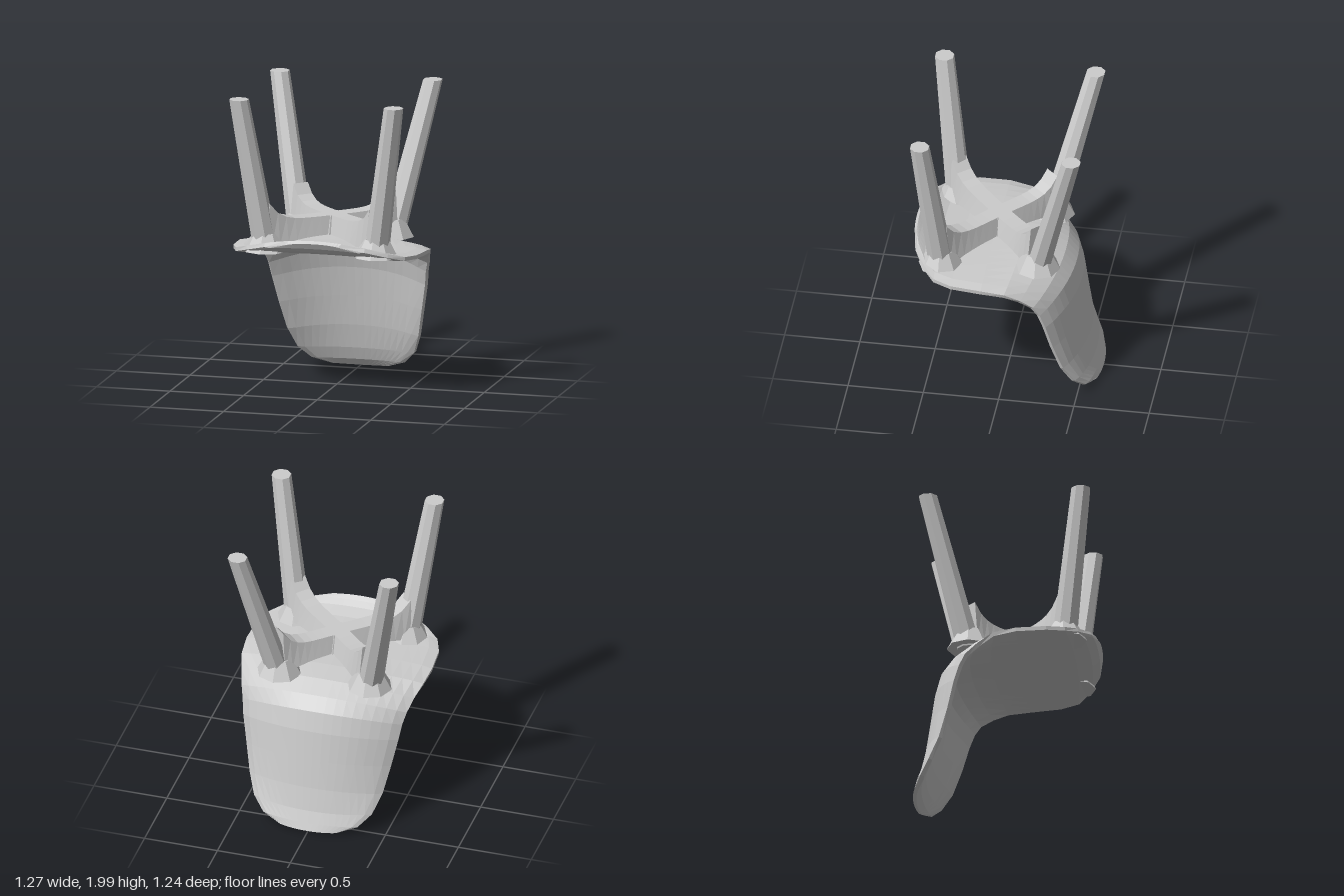
import * as THREE from 'three';

const material = new THREE.MeshStandardMaterial({ color: 0xcccccc, flatShading: true });

// Shell stations from seat lip to backrest rim: centre z, centre y, edge z, edge y, half width
const STATIONS = [
  [0.61, 1.085, 0.6, 1.07, 0.19],
  [0.585, 1.055, 0.57, 1.04, 0.34],
  [0.54, 1.025, 0.5, 1.0, 0.48],
  [0.45, 0.995, 0.42, 0.968, 0.575],
  [0.3, 0.98, 0.3, 0.958, 0.622],
  [0.1, 0.975, 0.1, 0.948, 0.635],
  [-0.1, 0.975, -0.05, 0.925, 0.62],
  [-0.25, 0.96, -0.15, 0.87, 0.585],
  [-0.36, 0.905, -0.23, 0.81, 0.56],
  [-0.425, 0.83, -0.27, 0.74, 0.54],
  [-0.46, 0.7, -0.305, 0.64, 0.525],
  [-0.49, 0.5, -0.35, 0.46, 0.49],
  [-0.52, 0.3, -0.41, 0.27, 0.45],
  [-0.555, 0.14, -0.48, 0.14, 0.4],
  [-0.585, 0.06, -0.54, 0.06, 0.32],
  [-0.612, 0.012, -0.59, 0.018, 0.19],
];

// One continuous curved shell with thickness and a closed rim
function shellGeometry() {
  const cols = 18, rows = STATIONS.length, stride = cols + 1;
  const middle = [];
  for (const [cz, cy, ez, ey, w] of STATIONS) {
    for (let c = 0; c <= cols; c++) {
      const u = (c / cols) * 2 - 1;
      const k = Math.pow(Math.abs(u), 2.2);
      middle.push(new THREE.Vector3(w * u, cy + (ey - cy) * k, cz + (ez - cz) * k));
    }
  }
  const at = (r, c) => middle[
    THREE.MathUtils.clamp(r, 0, rows - 1) * stride + THREE.MathUtils.clamp(c, 0, cols)];
  const outer = [], inner = [];
  for (let r = 0; r < rows; r++) {
    for (let c = 0; c <= cols; c++) {
      const across = at(r, c + 1).clone().sub(at(r, c - 1));
      const along = at(r + 1, c).clone().sub(at(r - 1, c));
      const rim = r === 0 || r === rows - 1 || c === 0 || c === cols;
      const n = across.cross(along).normalize().multiplyScalar(rim ? 0.013 : 0.021);
      outer.push(...at(r, c).clone().add(n).toArray());
      inner.push(...at(r, c).clone().sub(n).toArray());
    }
  }
  const total = rows * stride, index = [];
  for (let r = 0; r < rows - 1; r++) {
    for (let c = 0; c < cols; c++) {
      const a = r * stride + c, b = a + 1, d = a + stride, e = d + 1;
      index.push(a, b, d, b, e, d);
      index.push(total + a, total + d, total + b, total + b, total + d, total + e);
    }
  }
  // Rim joining both faces
  const loop = [];
  for (let c = 0; c < cols; c++) loop.push(c);
  for (let r = 0; r < rows - 1; r++) loop.push(r * stride + cols);
  for (let c = cols; c > 0; c--) loop.push((rows - 1) * stride + c);
  for (let r = rows - 1; r > 0; r--) loop.push(r * stride);
  loop.forEach((i, k) => {
    const j = loop[(k + 1) % loop.length];
    index.push(total + i, total + j, j, total + i, j, i);
  });
  const geometry = new THREE.BufferGeometry();
  geometry.setAttribute('position', new THREE.Float32BufferAttribute([...outer, ...inner], 3));
  geometry.setIndex(index);
  geometry.computeVertexNormals();
  return geometry;
}

// Tapered eight-sided leg, sheared so both ends stay level
function legGeometry(base, tip) {
  const h = tip.y - base.y;
  const geometry = new THREE.CylinderGeometry(0.065, 0.085, h, 8, 4);
  geometry.rotateY(Math.PI / 8);
  const p = geometry.attributes.position;
  for (let i = 0; i < p.count; i++) {
    const t = p.getY(i) / h + 0.5;
    p.setX(i, p.getX(i) + base.x + (tip.x - base.x) * t);
    p.setZ(i, p.getZ(i) + base.z + (tip.z - base.z) * t);
    p.setY(i, base.y + h * t);
  }
  geometry.computeVertexNormals();
  return geometry;
}

// Brace with sloping sides that sweeps up where it meets the leg
function braceGeometry(length) {
  const geometry = new THREE.BoxGeometry(1, 1, length, 1, 1, 8);
  const p = geometry.attributes.position;
  for (let i = 0; i < p.count; i++) {
    const t = p.getZ(i) / length + 0.5;
    const top = p.getY(i) > 0;
    p.setX(i, p.getX(i) * (top ? 0.11 : 0.17));
    p.setY(i, top ? 1.17 + 0.12 * Math.pow(t, 6) : 1.05 - 0.06 * Math.pow(t, 3));
    p.setZ(i, t * length);
  }
  geometry.computeVertexNormals();
  return geometry;
}

export function createModel() {
  const group = new THREE.Group();
  const add = (name, geometry) => {
    const mesh = new THREE.Mesh(geometry, material);
    mesh.name = name;
    group.add(mesh);
    return mesh;
  };

  add('seatShell', shellGeometry());

  const hub = new THREE.Vector3(0, 0, 0.07);
  const legs = [
    ['front', new THREE.Vector3(0.375, 0.98, 0.4), new THREE.Vector3(0.525, 2, 0.52)],
    ['rear', new THREE.Vector3(0.31, 0.96, -0.23), new THREE.Vector3(0.52, 1.98, -0.485)],
  ];
  for (const [end, base0, tip0] of legs) {
    for (const side of [1, -1]) {
      const name = end + (side > 0 ? 'Left' : 'Right');
      const mirror = new THREE.Vector3(side, 1, 1);
      const base = base0.clone().multiply(mirror), tip = tip0.clone().multiply(mirror);
      add(name + 'Leg', legGeometry(base, tip));

      // Flared foot spreading onto the seat
      const flare = add(name + 'Flare', new THREE.CylinderGeometry(0.085, 0.15, 0.12, 8));
      flare.position.set(base.x, 1.03, base.z);

      // Diagonal brace from hub to leg
      const target = new THREE.Vector3(base.x, 0, base.z);
      const brace = add(name + 'Brace', braceGeometry(hub.distanceTo(target)));
      brace.position.copy(hub);
      brace.rotation.y = Math.atan2(target.x - hub.x, target.z - hub.z);
    }
  }

  // Central block where the braces cross
  const block = add('braceHub', new THREE.CylinderGeometry(0.085, 0.13, 0.12, 4));
  block.position.set(hub.x, 1.11, hub.z);

  return group;
}
